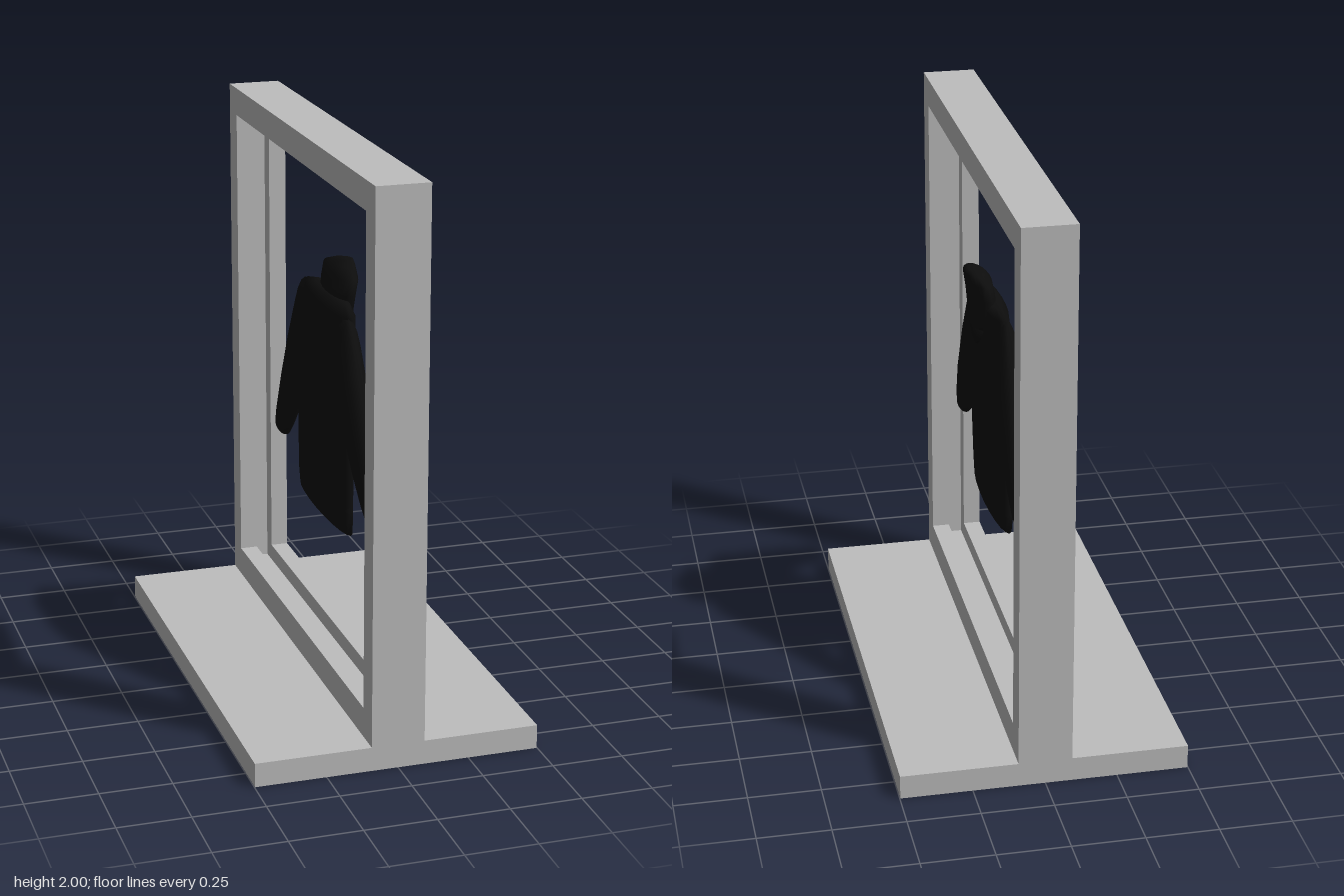
import * as THREE from 'three';

const grey = new THREE.MeshStandardMaterial({ color: 0xbebebe });
grey.name = 'frame grey';
const black = new THREE.MeshStandardMaterial({ color: 0x0d0d0d, side: THREE.DoubleSide });
black.name = 'fabric black';
const deepBlack = new THREE.MeshStandardMaterial({ color: 0x070707, side: THREE.DoubleSide });
deepBlack.name = 'fold black';

// Rectangular ring standing in the zy plane, from x0 to x1; groove deepens the opening
function frameRing(name, x0, x1, groove) {
  const rect = (Path, z, y0, y1) => {
    const p = new Path();
    p.moveTo(-z, y0).lineTo(z, y0).lineTo(z, y1).lineTo(-z, y1).closePath();
    return p;
  };
  const shape = rect(THREE.Shape, 0.857, 0.085, 2);
  shape.holes.push(rect(THREE.Path, 0.765 + groove, 0.19 - groove, 1.9 + groove));
  const geo = new THREE.ExtrudeGeometry(shape, { depth: x1 - x0, bevelEnabled: false });
  geo.rotateY(Math.PI / 2).translate(x0, 0, 0);
  const mesh = new THREE.Mesh(geo, grey);
  mesh.name = name;
  return mesh;
}

// Lofted cloth: each section is [zA, yA, zB, yB, xCentre, halfDepth]
function cloth(name, material, sections, sides = 20) {
  const pos = [], idx = [], n = sections.length;
  for (const [zA, yA, zB, yB, x, h] of sections) {
    for (let i = 0; i < sides; i++) {
      const a = (i / sides) * Math.PI * 2;
      const t = (1 - Math.cos(a)) / 2;
      pos.push(x + h * Math.sin(a), yA + (yB - yA) * t, zA + (zB - zA) * t);
    }
  }
  for (let s = 0; s < n - 1; s++) {
    for (let i = 0; i < sides; i++) {
      const j = (i + 1) % sides;
      const a = s * sides + i, b = s * sides + j;
      idx.push(a, b, b + sides, a, b + sides, a + sides);
    }
  }
  // end caps
  for (let i = 1; i < sides - 1; i++) {
    const e = (n - 1) * sides;
    idx.push(0, i + 1, i, e, e + i, e + i + 1);
  }
  const geo = new THREE.BufferGeometry();
  geo.setAttribute('position', new THREE.Float32BufferAttribute(pos, 3));
  geo.setIndex(idx);
  geo.computeVertexNormals();
  const mesh = new THREE.Mesh(geo, material);
  mesh.name = name;
  return mesh;
}

export function createModel() {
  const model = new THREE.Group();
  model.name = 'framedJacketDisplay';

  // Foot plate
  const base = new THREE.Mesh(new THREE.BoxGeometry(0.996, 0.085, 1.714), grey);
  base.name = 'base';
  base.position.y = 0.0425;
  model.add(base);

  // Frame with a groove around the inside
  model.add(
    frameRing('frameLeft', 0.03, 0.093, 0),
    frameRing('frameGroove', -0.03, 0.03, 0.06),
    frameRing('frameRight', -0.093, -0.03, 0)
  );

  // Hanging hooded jacket
  const jacket = new THREE.Group();
  jacket.name = 'jacket';
  jacket.add(cloth('torso', black, [
    [0.335, 0.637, -0.25, 0.645, 0, 0.035],
    [0.325, 0.72, -0.255, 0.72, 0, 0.045],
    [0.33, 0.85, -0.25, 0.85, 0, 0.05],
    [0.335, 1.0, -0.24, 1.0, 0, 0.055],
    [0.335, 1.2, -0.25, 1.2, 0, 0.06],
    [0.31, 1.405, -0.205, 1.425, 0.01, 0.045],
    [0.19, 1.435, -0.11, 1.445, 0.02, 0.035]
  ]));
  jacket.add(cloth('frontSleeve', black, [
    [0.2, 1.42, 0.22, 1.0, 0, 0.03],
    [0.31, 1.405, 0.335, 1.0, 0, 0.045],
    [0.4, 1.24, 0.34, 0.995, 0, 0.05],
    [0.51, 1.04, 0.44, 0.88, 0, 0.045],
    [0.595, 0.875, 0.505, 0.805, 0, 0.035],
    [0.62, 0.82, 0.54, 0.768, 0, 0.028]
  ]));
  jacket.add(cloth('backSleeve', black, [
    [-0.1, 1.43, -0.12, 1.0, 0, 0.03],
    [-0.205, 1.425, -0.24, 1.0, 0, 0.045],
    [-0.3, 1.24, -0.25, 0.985, 0, 0.05],
    [-0.41, 1.03, -0.34, 0.88, 0, 0.045],
    [-0.505, 0.86, -0.41, 0.795, 0, 0.035],
    [-0.535, 0.805, -0.45, 0.752, 0, 0.028]
  ]));
  // Hood leaning outward, with its folded lower edge
  jacket.add(cloth('hood', black, [
    [0.12, 1.33, -0.05, 1.33, 0.04, 0.04],
    [0.17, 1.39, -0.09, 1.39, 0.04, 0.045],
    [0.185, 1.45, -0.105, 1.46, 0.045, 0.045],
    [0.185, 1.5, -0.11, 1.515, 0.055, 0.043],
    [0.1, 1.53, -0.05, 1.535, 0.07, 0.034],
    [0.06, 1.545, 0, 1.545, 0.08, 0.02]
  ]));
  jacket.add(cloth('hoodFold', deepBlack, [
    [0.05, 1.262, 0.01, 1.262, 0.045, 0.02],
    [0.09, 1.29, -0.025, 1.29, 0.045, 0.03],
    [0.125, 1.335, -0.06, 1.335, 0.045, 0.038]
  ]));
  model.add(jacket);
  return model;
}
